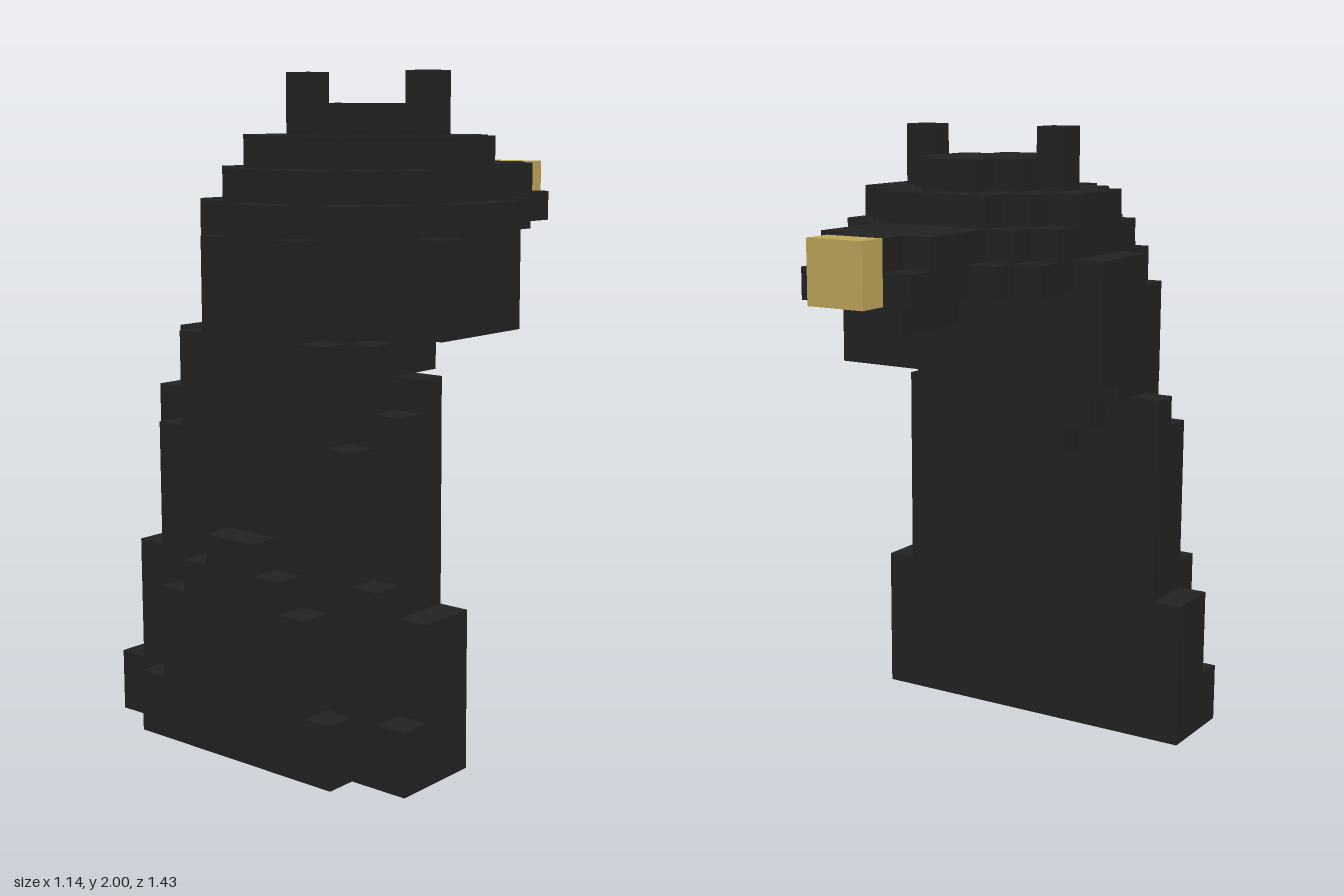
import * as THREE from 'three';

const U = 2 / 21; // size of one block

export function createModel() {
  const model = new THREE.Group();
  const black = new THREE.MeshStandardMaterial({ color: 0x222222 });
  black.name = 'black';
  const gold = new THREE.MeshStandardMaterial({ color: 0xbfa65a });
  gold.name = 'gold';

  // Box in block units
  const box = (parent, name, x0, x1, y0, y1, z0, z1, mat = black) => {
    const mesh = new THREE.Mesh(
      new THREE.BoxGeometry((x1 - x0) * U, (y1 - y0) * U, (z1 - z0) * U), mat);
    mesh.position.set((x0 + x1) / 2 * U, (y0 + y1) / 2 * U, (z0 + z1) / 2 * U);
    mesh.name = name;
    parent.add(mesh);
  };

  // Stepped mass from centred slabs: [half width, y0, y1, z0, z1]
  const mass = (name, slabs) => {
    const group = new THREE.Group();
    group.name = name;
    for (const [w, ...r] of slabs) box(group, name + 'Step', -w, w, ...r);
    model.add(group);
  };

  mass('chestPlate', [
    [1, 0, 7, 6.5, 7.5], [2, 0, 6, 6.5, 7.5], [3, 0, 5, 6.5, 7.5], [4, 0, 2, 6.5, 7.5],
  ]);

  mass('body', [
    [1, 0, 17, 5.5, 6.5], [2, 0, 16, 5.5, 6.5], [3, 0, 13, 5.5, 6.5],
    [4, 0, 10, 5.5, 6.5], [5, 0, 6, 5.5, 6.5], [6, 0, 2, 5.5, 6.5],
    [4, 0, 13, 3.5, 5.5], [5, 0, 11, 3.5, 5.5], [5, 11, 12, 3.5, 4.5],
    [6, 0, 5, 3.5, 5.5],
  ]);

  mass('throat', [
    [4, 12, 13, 2.5, 3.5], [3, 11, 12, 2.5, 3.5], [2, 10, 11, 2.5, 3.5],
  ]);

  mass('head', [
    // face sides
    [3, 13, 17, -0.5, 5.5], [4, 13, 17, -0.5, 4.5], [5, 13, 16, -0.5, 3.5],
    // brow
    [3, 16, 17, -3.5, 0], [4, 16, 17, -2.5, 0], [5, 16, 17, -0.5, 2.5],
    // stepped crown
    [2, 17, 18, -3.5, 5.5], [3, 17, 18, -2.5, 4.5], [4, 17, 18, -1.5, 3.5],
    [2, 18, 19, -2.5, 4.5], [3, 18, 19, -1.5, 3.5], [4, 18, 19, -0.5, 2.5],
    [1, 19, 20, -1.5, 3.5], [2, 19, 20, -0.5, 2.5], [3, 19, 20, 0.5, 1.5],
  ]);

  mass('snout', [
    [2, 16, 18, -5.5, -2.5], [2, 16, 17, -6.5, -5.5], [1, 17, 18, -6.5, -5.5],
  ]);
  mass('lowerJaw', [[1, 15, 16, -5.5, -2.5]]);

  // Ears and beak tip
  box(model, 'leftEar', 2, 3, 20, 21, 0.5, 1.5);
  box(model, 'rightEar', -3, -2, 20, 21, 0.5, 1.5);
  box(model, 'beakTip', -1, 1, 16, 18, -7.5, -6.5, gold);

  return model;
}
